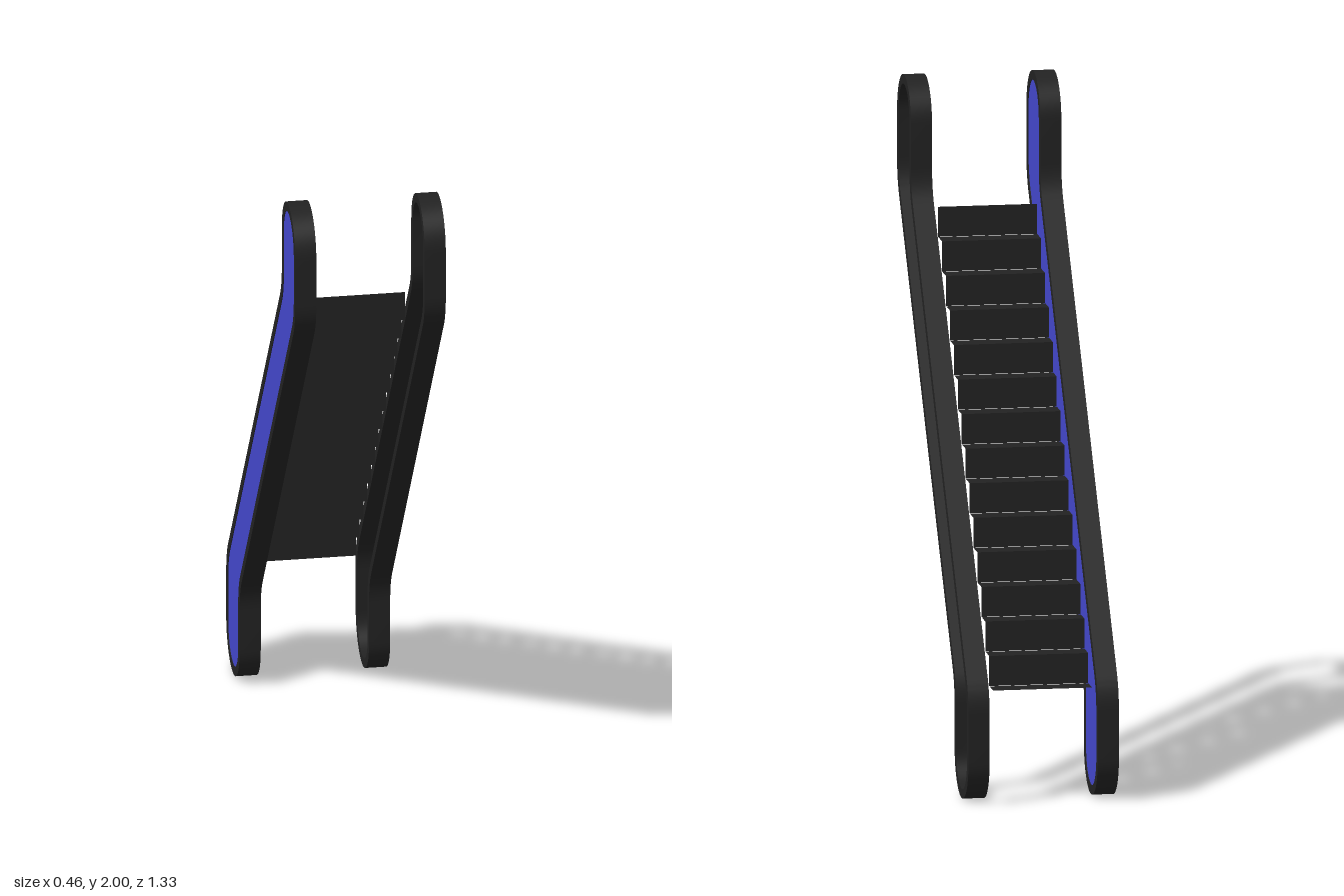
import * as THREE from 'three';
import { toCreasedNormals } from 'three/addons/utils/BufferGeometryUtils.js';

const STEPS = 14;
const PITCH = 0.073;   // step going along z
const RISE = 0.0914;   // step height
const RAIL_X = 0.196;
const RAIL_WIDTH = 0.064;
const RAIL_THICKNESS = 0.028;

// Handrail loop in (z, y), inset by t; the second half is the first turned 180 degrees.
function outline(path, t) {
  const r = 0.06;                                  // length of the bend rounding
  const slant = [0.622 * r, 0.782 * r];
  for (const s of [1, -1]) {
    const p = (z, y) => [s * z, 1 + s * (y - 1)];
    const a = [0.663 - t, 1.663 + 0.35 * t];       // outer bend
    const b = [0.405 + t, 1.68 - 0.35 * t];        // inner bend
    const start = p(a[0] - slant[0], a[1] - slant[1]);
    if (s === 1) path.moveTo(...start); else path.lineTo(...start);
    path.quadraticCurveTo(...p(...a), ...p(a[0], a[1] + r));
    const c = p(0.534, 1.871);
    path.absarc(c[0], c[1], 0.129 - t, s === 1 ? 0 : Math.PI, s === 1 ? Math.PI : 2 * Math.PI, false);
    path.lineTo(...p(b[0], b[1] + r));
    path.quadraticCurveTo(...p(...b), ...p(b[0] - slant[0], b[1] - slant[1]));
  }
  path.closePath();
  return path;
}

// Extrude a (z, y) shape across x, centred on x = 0.
function extrudeAcross(shape, width) {
  const geo = new THREE.ExtrudeGeometry(shape, { depth: width, bevelEnabled: false, curveSegments: 12 });
  geo.translate(0, 0, -width / 2);
  geo.rotateY(-Math.PI / 2);
  return toCreasedNormals(geo, 0.6);
}

export function createModel() {
  const model = new THREE.Group();
  model.name = 'escalator';
  const dark = new THREE.MeshStandardMaterial({ color: 0x222222 });
  const darkSheet = new THREE.MeshStandardMaterial({ color: 0x222222, side: THREE.DoubleSide });
  const blue = new THREE.MeshStandardMaterial({ color: 0x4448cc });

  const add = (parent, name, geo, mat, x = 0, y = 0, z = 0) => {
    const mesh = new THREE.Mesh(geo, mat);
    mesh.name = name;
    mesh.position.set(x, y, z);
    parent.add(mesh);
  };

  // Handrail loops on both sides
  const ring = outline(new THREE.Shape(), 0);
  ring.holes.push(outline(new THREE.Path(), RAIL_THICKNESS));
  const railGeo = extrudeAcross(ring, RAIL_WIDTH);
  add(model, 'leftHandrail', railGeo, dark, RAIL_X);
  add(model, 'rightHandrail', railGeo, dark, -RAIL_X);

  // Side panel filling the right loop only
  const panel = outline(new THREE.Shape(), RAIL_THICKNESS);
  add(model, 'rightSidePanel', extrudeAcross(panel, RAIL_WIDTH - 0.004), blue, -RAIL_X);

  // Steps: thin treads and risers with a narrow slit before each riser
  const steps = new THREE.Group();
  steps.name = 'steps';
  model.add(steps);
  const treadDepth = PITCH - 0.006;
  const tread = new THREE.PlaneGeometry(0.3, treadDepth).rotateX(-Math.PI / 2);
  const riser = new THREE.PlaneGeometry(0.3, RISE).rotateY(Math.PI);
  for (let i = 0; i < STEPS; i++) {
    const z = -0.637 + i * PITCH;
    const y = 0.344 + i * RISE;
    add(steps, 'tread', tread, darkSheet, -0.001, y, z + treadDepth / 2);
    add(steps, 'riser', riser, darkSheet, -0.001, y + RISE / 2, z + PITCH);
  }

  // Slight twist of the whole flight
  model.rotation.y = 0.006;
  return model;
}
